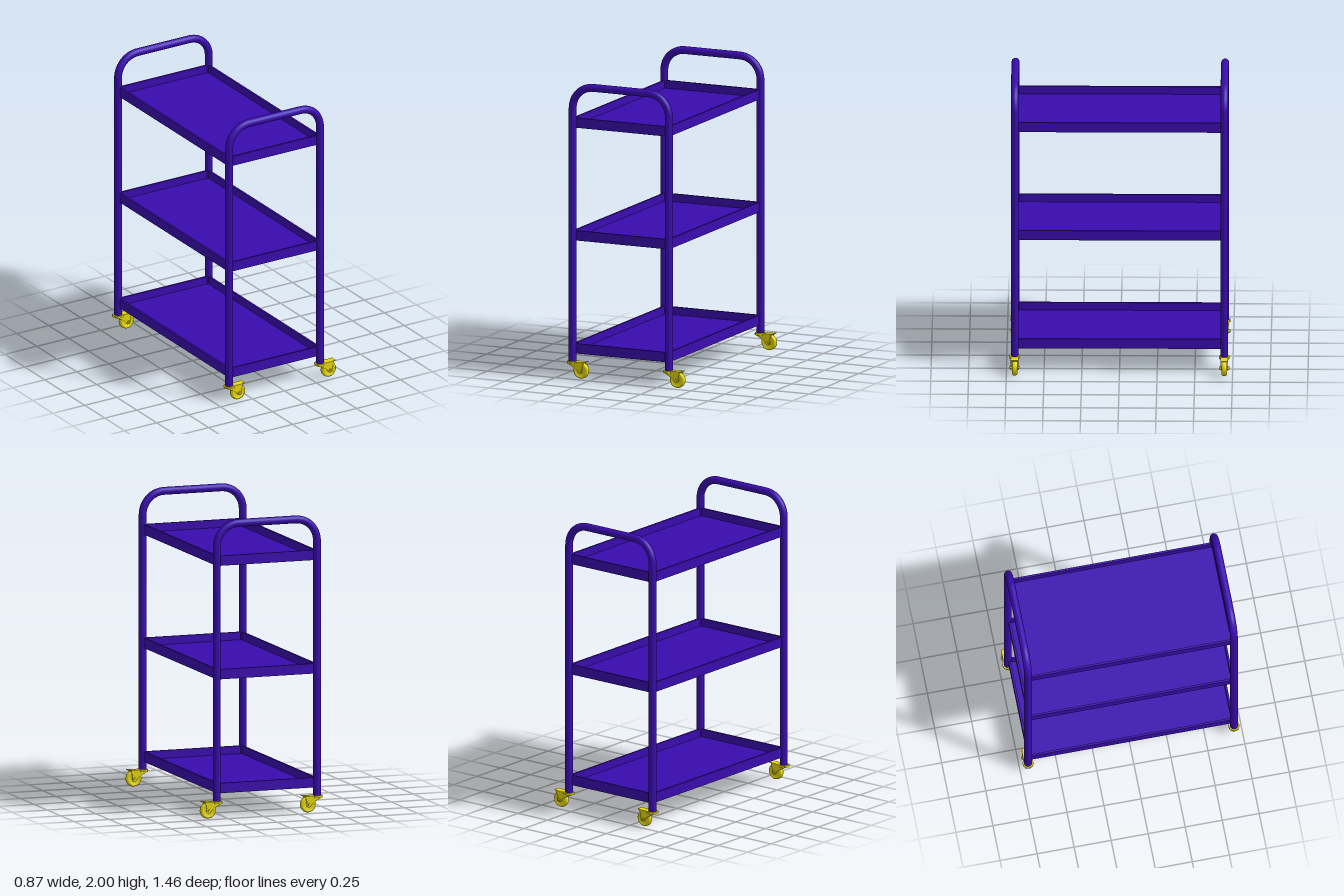
import * as THREE from 'three';

const purple = new THREE.MeshStandardMaterial({ color: 0x3a0cb0 });
const yellow = new THREE.MeshStandardMaterial({ color: 0xe6d80c });

const LEFT = 0.311, RIGHT = -0.399, END = 0.695, TUBE = 0.026;

function add(parent, name, geometry, material, x = 0, y = 0, z = 0) {
  const mesh = new THREE.Mesh(geometry, material);
  mesh.name = name;
  mesh.position.set(x, y, z);
  parent.add(mesh);
  return mesh;
}

// Cylinder lying along z
function axleCylinder(radius, length, segments = 32) {
  return new THREE.CylinderGeometry(radius, radius, length, segments).rotateX(Math.PI / 2);
}

// Two posts joined by a round-cornered push handle
function createEndFrame(z) {
  const group = new THREE.Group();
  group.name = 'endFrame';
  const top = 2 - TUBE, bend = 0.15, bottom = 0.11;
  const v = (x, y) => new THREE.Vector3(x, y, 0);
  const bendPoints = (cx, from, to) => Array.from({ length: 13 }, (_, i) => {
    const a = from + (to - from) * i / 12;
    return v(cx + bend * Math.cos(a), top - bend + bend * Math.sin(a));
  });
  const points = [
    v(RIGHT, bottom),
    ...bendPoints(RIGHT + bend, Math.PI, Math.PI / 2),
    ...bendPoints(LEFT - bend, Math.PI / 2, 0),
    v(LEFT, bottom),
  ];
  const path = new THREE.CurvePath();
  for (let i = 1; i < points.length; i++) path.add(new THREE.LineCurve3(points[i - 1], points[i]));
  add(group, 'handleTube', new THREE.TubeGeometry(path, 240, TUBE, 24), purple);
  for (const x of [RIGHT, LEFT]) {
    add(group, 'postCap', new THREE.CircleGeometry(TUBE, 24).rotateX(Math.PI / 2), purple, x, bottom, 0);
  }
  group.position.z = z;
  return group;
}

// Shallow tray: a floor with a thin upright rim
function createTray(y) {
  const group = new THREE.Group();
  group.name = 'tray';
  const w = LEFT - RIGHT, d = END * 2, h = 0.067, t = 0.014, floor = 0.014;
  add(group, 'trayFloor', new THREE.BoxGeometry(w, floor, d), purple, 0, floor / 2, 0);
  const rimY = (h + floor) / 2, rimH = h - floor;
  for (const s of [-1, 1]) {
    add(group, 'sideRim', new THREE.BoxGeometry(t, rimH, d), purple, s * (w - t) / 2, rimY, 0);
    add(group, 'endRim', new THREE.BoxGeometry(w - 2 * t, rimH, t), purple, 0, rimY, s * (d - t) / 2);
  }
  group.position.set((LEFT + RIGHT) / 2, y, 0);
  return group;
}

// Swivel caster trailing towards +x
function createCaster(x, z) {
  const group = new THREE.Group();
  group.name = 'caster';
  const ax = 0.065, ay = 0.054;

  add(group, 'swivelPlate', new THREE.CylinderGeometry(0.036, 0.036, 0.014, 32), yellow, 0, 0.106, 0);
  add(group, 'forkTop', new THREE.BoxGeometry(0.085, 0.006, 0.05), yellow, 0.0425, 0.11, 0);

  // Wheel with rounded tread and recessed sides
  const profile = [[0.01, -0.012], [0.034, -0.012], [0.038, -0.018], [0.046, -0.018], [0.052, -0.012], [0.054, -0.005],
    [0.054, 0.005], [0.052, 0.012], [0.046, 0.018], [0.038, 0.018], [0.034, 0.012], [0.01, 0.012]]
    .map(([r, h]) => new THREE.Vector2(r, h));
  add(group, 'wheel', new THREE.LatheGeometry(profile, 40).rotateX(Math.PI / 2), yellow, ax, ay, 0);
  add(group, 'hub', axleCylinder(0.014, 0.042), yellow, ax, ay, 0);
  add(group, 'axleBolt', axleCylinder(0.009, 0.068, 16), yellow, ax, ay, 0);

  // Side plates sweeping back to the axle
  const side = new THREE.Shape();
  side.moveTo(-0.03, 0.112);
  side.lineTo(-0.03, 0.1);
  side.lineTo(0.015, 0.078);
  side.quadraticCurveTo(0.035, 0.066, ax - 0.017, ay - 0.004);
  side.absarc(ax, ay, 0.018, Math.PI * 1.08, Math.PI * 2.1, false);
  side.quadraticCurveTo(0.078, 0.085, 0.09, 0.1);
  side.lineTo(0.09, 0.112);
  const sideGeometry = new THREE.ExtrudeGeometry(side, { depth: 0.005, bevelEnabled: false, curveSegments: 10 });
  for (const sz of [-0.0255, 0.0205]) add(group, 'forkSide', sideGeometry, yellow, 0, 0, sz);

  // Brake pedal above the wheel
  const pedal = add(group, 'brakePedal', new THREE.BoxGeometry(0.035, 0.005, 0.046), yellow, 0.09, 0.112, 0);
  pedal.rotation.z = 0.15;

  group.position.set(x, 0, z);
  return group;
}

export function createModel() {
  const model = new THREE.Group();
  model.name = 'trolley';
  for (const z of [-END, END]) {
    model.add(createEndFrame(z));
    for (const x of [RIGHT, LEFT]) model.add(createCaster(x, z));
  }
  for (const y of [0.165, 0.93, 1.693]) model.add(createTray(y));
  return model;
}
